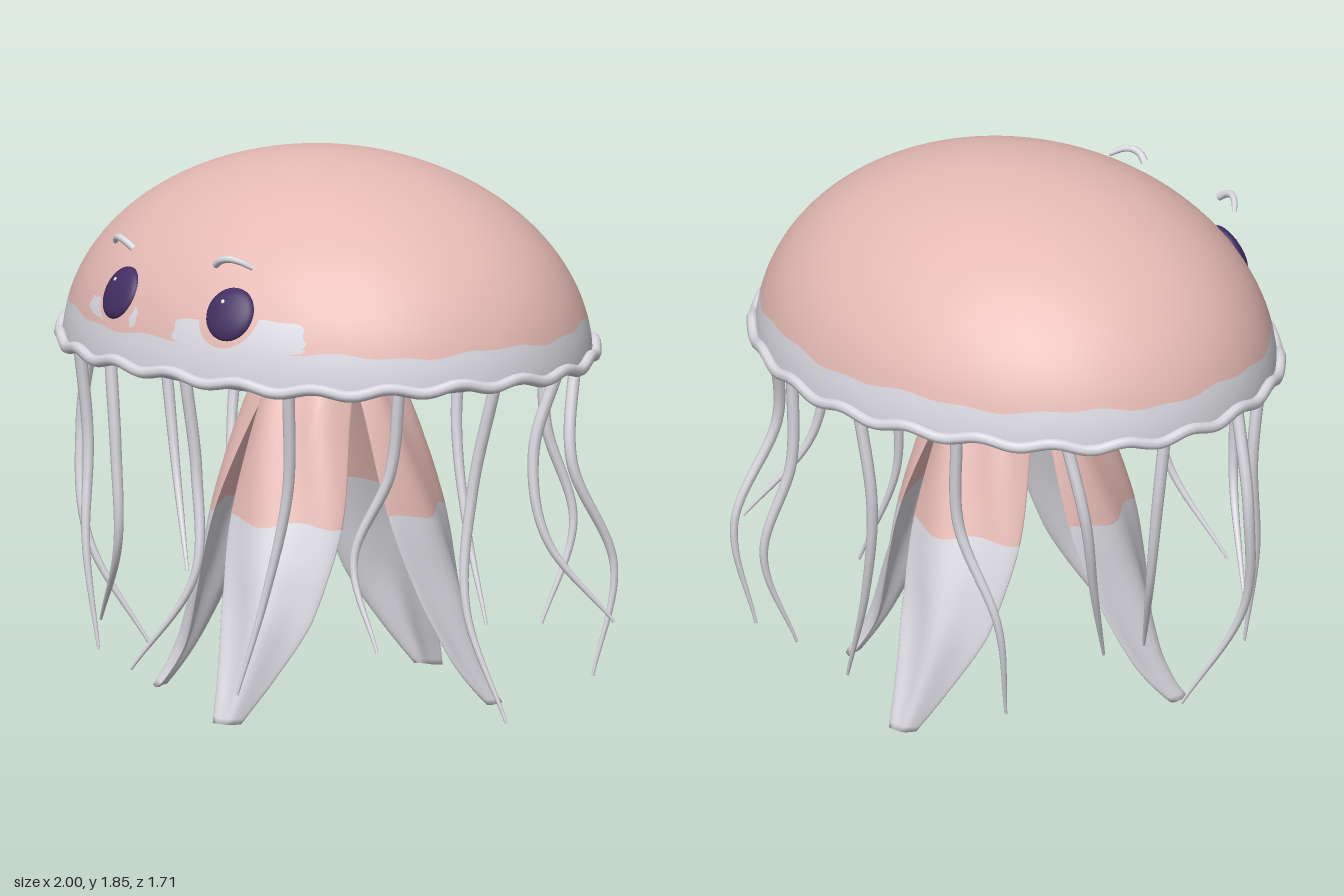
import * as THREE from 'three';
import { mergeVertices } from 'three/addons/utils/BufferGeometryUtils.js';

const CX = -0.01, CZ = -0.02, TAU = Math.PI * 2;
const paint = (name, color) => {
  const m = new THREE.MeshStandardMaterial({ color });
  m.name = name;
  return m;
};

// Smooth surface from a rule fn(u, v) -> [x, y, z]
function surface(fn, nu, nv) {
  const pos = [], index = [];
  for (let i = 0; i <= nu; i++)
    for (let j = 0; j <= nv; j++) pos.push(...fn(i / nu, j / nv));
  for (let i = 0; i < nu; i++)
    for (let j = 0; j < nv; j++) {
      const a = i * (nv + 1) + j, b = a + nv + 1;
      index.push(a, b, b + 1, a, b + 1, a + 1);
    }
  let g = new THREE.BufferGeometry();
  g.setAttribute('position', new THREE.Float32BufferAttribute(pos, 3));
  g.setIndex(index);
  g = mergeVertices(g, 1e-5);
  g.computeVertexNormals();
  return g;
}

// Tube along points, narrowing from r0 to r1
function taperedTube(points, r0, r1, n = 40, sides = 8) {
  const curve = new THREE.CatmullRomCurve3(points.map(p => new THREE.Vector3(...p)));
  const g = new THREE.TubeGeometry(curve, n, r0, sides);
  const p = g.attributes.position, v = new THREE.Vector3();
  for (let i = 0; i <= n; i++) {
    const c = curve.getPointAt(i / n), k = 1 + (r1 / r0 - 1) * (i / n) ** 2;
    for (let j = 0; j <= sides; j++) {
      const id = i * (sides + 1) + j;
      v.fromBufferAttribute(p, id).sub(c).multiplyScalar(k).add(c);
      p.setXYZ(id, v.x, v.y, v.z);
    }
  }
  return g;
}

// Bell shape: half an ellipsoid
const A = 0.957, B = 0.805, H = 0.67, Y0 = 1.18;
const rimY = th => 1.206 + 0.011 * Math.sin(th * 22) + 0.006 * Math.sin(th * 5);
const colourLine = th => 1.318 + 0.008 * Math.sin(th * 9) + 0.005 * Math.sin(th * 23 + 1);
const bellPoint = (th, y) => {
  const s = Math.sqrt(Math.max(0, 1 - ((y - Y0) / H) ** 2));
  return [CX + A * s * Math.cos(th), y, CZ + B * s * Math.sin(th)];
};
const bellFront = (x, y) =>
  CZ + B * Math.sqrt(1 - ((x - CX) / A) ** 2 - ((y - Y0) / H) ** 2);

// Thin wavy-edged patch lying on the front of the bell
const patch = (x, y, rx, ry, wave, lift) => surface((u, v) => {
  const a = u * TAU, k = (1 - v) * (1 + wave * Math.sin(a * 5 + x * 9));
  const px = x + rx * k * Math.cos(a), py = y + ry * k * Math.sin(a);
  return [px, py, bellFront(px, py) + lift];
}, 40, 6);

export function createModel() {
  const root = new THREE.Group();
  const pink = paint('pink', 0xe6bab4), white = paint('paleGrey', 0xdad9e0);
  const purple = paint('eyePurple', 0x432e62), shine = paint('eyeShine', 0xffffff);
  const add = (name, geo, mat, parent = root) => {
    const m = new THREE.Mesh(geo, mat);
    m.name = name;
    parent.add(m);
    return m;
  };

  // Bell: pink crown, pale lower band, folded underside, wavy rim
  add('bellCrown', surface((u, v) => {
    const th = u * TAU, top = Math.PI / 2, low = Math.asin((colourLine(th) - Y0) / H);
    return bellPoint(th, Y0 + H * Math.sin(top + (low - top) * v));
  }, 120, 32), pink);
  add('bellBand', surface((u, v) => {
    const th = u * TAU;
    return bellPoint(th, colourLine(th) + (rimY(th) - colourLine(th)) * v);
  }, 120, 4), white);
  add('underside', surface((u, v) => {
    const th = u * TAU, s = 1 - v;
    const folds = 0.009 * Math.sin(th * 14) * Math.sin(Math.PI * s);
    const y = 1.10 + (rimY(th) - 1.10) * s ** 3 + folds + 0.05 * Math.max(0, 1 - s * 5);
    return [CX + A * s * Math.cos(th), y, CZ + B * s * Math.sin(th)];
  }, 120, 16), white);
  const rimPoints = Array.from({ length: 132 }, (_, i) => {
    const th = i / 132 * TAU;
    return new THREE.Vector3(CX + 0.967 * Math.cos(th), rimY(th), CZ + 0.813 * Math.sin(th));
  });
  add('rim', new THREE.TubeGeometry(
    new THREE.CatmullRomCurve3(rimPoints, true), 264, 0.02, 8, true), white);

  // Pale blotches around the eyes
  const blotches = [
    [0.19, 1.36, 0.16, 0.05], [0.41, 1.37, 0.11, 0.055], [0.31, 1.34, 0.2, 0.04],
    [-0.40, 1.37, 0.045, 0.028], [-0.31, 1.345, 0.07, 0.013], [-0.165, 1.37, 0.02, 0.035],
  ];
  for (const [x, y, rx, ry] of blotches)
    add('blotch', patch(x, y, rx, ry, 0.1, 0.004), white);

  // Eyes with soft sockets, shine and brows
  const ball = (sx, sy, sz) => new THREE.SphereGeometry(1, 32, 20).scale(sx, sy, sz);
  for (const [x, side] of [[-0.27, -1], [0.245, 1]]) {
    const eye = new THREE.Group(), y = 1.43, z = bellFront(x, y);
    eye.name = side > 0 ? 'leftEye' : 'rightEye';
    eye.position.set(x, y, z);
    eye.lookAt(x + (x - CX) / A ** 2, y + (y - Y0) / H ** 2, z + (z - CZ) / B ** 2);
    root.add(eye);
    add('socket', patch(x, y, 0.11, 0.108, 0, 0.008), pink);
    add('eyeball', ball(0.09, 0.093, 0.03), purple, eye);
    add('shine', ball(0.007, 0.007, 0.004), shine, eye).position.set(-0.025, 0.035, 0.027);
    const brow = [-1, -0.5, 0, 0.5, 1].map(t =>
      [x + 0.005 + side * 0.066 * t, 1.62 - 0.028 * t * t, 0.705 - 0.022 * t - 0.022 * t * t]);
    add('brow', taperedTube(brow, 0.013, 0.008, 20), white);
  }

  // Four broad mouth arms: twisted, gently folded ribbons, pink above and pale below
  const stations = [ // y, reach, sideways shift, width, fold depth
    [1.17, 0.12, 0.06, 0.27, 0.05], [1.0, 0.21, 0.09, 0.33, 0.06], [0.65, 0.33, 0.14, 0.41, 0.06],
    [0.35, 0.42, 0.155, 0.33, 0.05], [0.15, 0.49, 0.135, 0.2, 0.03], [0, 0.55, 0.115, 0.1, 0.01],
  ];
  const spine = new THREE.CatmullRomCurve3(stations.map(s => new THREE.Vector3(s[2], s[0], s[1])));
  const form = new THREE.CatmullRomCurve3(stations.map(s => new THREE.Vector3(s[3], s[4], 0)));
  const twist = 0.4, ct = Math.cos(twist), st = Math.sin(twist);
  const armPart = (from, to, lean, reach) => surface((u, v) => {
    const q = from + (to - from) * Math.min(1, v / 0.96);
    const c = spine.getPoint(q), f = form.getPoint(q);
    const a = u * TAU, k = Math.cos(a);
    const open = v === 1 && to === 1 ? 0 : 1; // the last ring closes the tip
    const ripple = 0.014 * Math.sin(k * 5 + c.y * 5) * Math.min(1, f.y * 20);
    const across = open * f.x / 2 * k;
    const out = open * (f.y * (0.5 - k * k) + 0.016 * Math.sin(a) + ripple);
    return [
      c.x + lean * q ** 4 + across * ct + out * st,
      Math.max(0, c.y + 0.012 * Math.sin(k * 5) * Math.sin(Math.PI * q)),
      c.z * (1 + (reach - 1) * Math.min(1, q * 2)) - across * st + out * ct,
    ];
  }, 40, 25);
  ['front', 'left', 'back', 'right'].forEach((name, i) => {
    const arm = new THREE.Group(), sideways = i % 2;
    arm.name = name + 'Arm';
    arm.position.set(CX, 0, CZ);
    arm.rotation.y = i * Math.PI / 2;
    root.add(arm);
    const lean = sideways ? 0.17 : 0, reach = sideways ? 0.91 : 1.08;
    add('armTop', armPart(0, 0.4, lean, reach), pink, arm);
    add('armTip', armPart(0.4, 1, lean, reach), white, arm);
  });

  // Thin tentacles spaced evenly inside the rim:
  // x, z at one third and two thirds of the drop, then the tip's x, y, z
  const tentacles = [
    [0.80, 0.11, 0.82, 0.16, 0.97, 0.06, 0.12], [0.70, 0.40, 0.61, 0.48, 0.74, 0.32, 0.50],
    [0.42, 0.60, 0.35, 0.63, 0.28, 0.14, 0.70], [0.10, 0.71, 0.13, 0.75, -0.07, 0.20, 0.85],
    [-0.28, 0.71, -0.28, 0.70, -0.49, 0.27, 0.57], [-0.64, 0.48, -0.61, 0.52, -0.55, 0.15, 0.52],
    [-0.94, 0.21, -0.88, 0.24, -0.70, 0.08, 0.12], [-0.87, -0.13, -0.81, -0.11, -0.67, 0.32, -0.02],
    [-0.82, -0.40, -0.78, -0.33, -0.70, 0.35, -0.22], [-0.46, -0.65, -0.58, -0.58, -0.55, 0.17, -0.52],
    [-0.13, -0.75, -0.06, -0.72, 0.08, 0.15, -0.68], [0.30, -0.74, 0.36, -0.81, 0.33, 0.19, -0.69],
    [0.69, -0.47, 0.75, -0.61, 0.72, 0.09, -0.54], [0.80, -0.18, 0.85, -0.19, 1.0, 0.34, -0.36],
  ];
  tentacles.forEach(([x1, z1, x2, z2, x, y, z], i) => {
    const th = 0.12 + i / tentacles.length * TAU, drop = 1.2 - y;
    add('tentacle', taperedTube([
      [CX + 0.89 * Math.cos(th), 1.2, CZ + 0.77 * Math.sin(th)],
      [x1, 1.2 - drop / 3, z1], [x2, 1.2 - drop * 2 / 3, z2], [x, y, z],
    ], 0.021, 0.005), white);
  });

  return root;
}
